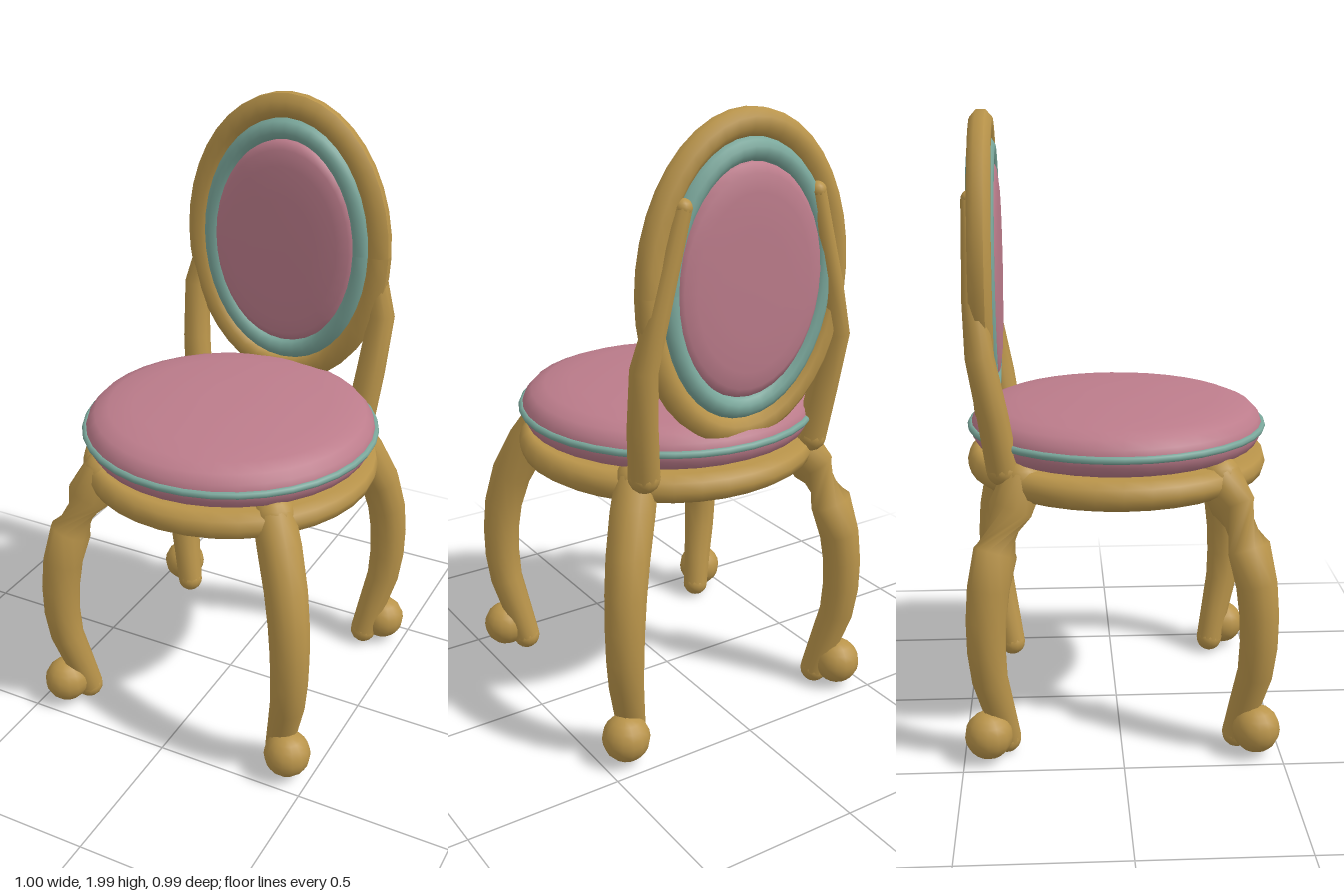
import * as THREE from 'three';

const material = (name, color, side = THREE.FrontSide) => {
  const m = new THREE.MeshStandardMaterial({ color, side });
  m.name = name;
  return m;
};

// Tapered tube through points; rings after twistAt are turned by twist radians.
function taperedTube(points, radii, ref, sides = 12, twistAt = Infinity, twist = 0) {
  const pos = [], index = [];
  points.forEach((p, i) => {
    const t = points[Math.min(i + 1, points.length - 1)].clone()
      .sub(points[Math.max(i - 1, 0)]).normalize();
    const u = ref.clone().addScaledVector(t, -ref.dot(t)).normalize();
    const v = t.clone().cross(u);
    for (let j = 0; j < sides; j++) {
      const a = (j / sides) * Math.PI * 2 + (i >= twistAt ? twist : 0);
      const q = p.clone().addScaledVector(u, Math.cos(a) * radii[i])
        .addScaledVector(v, Math.sin(a) * radii[i]);
      pos.push(q.x, q.y, q.z);
      if (i < points.length - 1) {
        const k = (j + 1) % sides, r = i * sides, n = r + sides;
        index.push(r + j, r + k, n + j, r + k, n + k, n + j);
      }
    }
  });
  const g = new THREE.BufferGeometry();
  g.setAttribute('position', new THREE.Float32BufferAttribute(pos, 3));
  g.setIndex(index);
  g.computeVertexNormals();
  return g;
}

// Elliptical ring in the xy plane with a round section.
function ovalRing(rx, ry, tube, depth, sides) {
  const g = new THREE.TorusGeometry(1, 0.1, sides, 40);
  const p = g.attributes.position;
  const seg = 40;
  for (let i = 0; i < p.count; i++) {
    const a = ((i % (seg + 1)) / seg) * Math.PI * 2;
    const b = (Math.floor(i / (seg + 1)) / sides) * Math.PI * 2 + Math.PI / sides;
    const off = Math.cos(b) * tube;
    p.setXYZ(i, Math.cos(a) * (rx + off), Math.sin(a) * (ry + off), Math.sin(b) * depth);
  }
  g.computeVertexNormals();
  return g;
}

const lathe = (pts, seg = 36) =>
  new THREE.LatheGeometry(pts.map(([x, y]) => new THREE.Vector2(x, y)), seg);

export function createModel() {
  const wood = material('golden wood', 0xb9944a, THREE.DoubleSide);
  const fabric = material('rose fabric', 0xbc7c8b);
  const trim = material('teal trim', 0x7aa79b);
  const model = new THREE.Group();
  const add = (name, geo, mat, x = 0, y = 0, z = 0, parent = model) => {
    const m = new THREE.Mesh(geo, mat);
    m.name = name;
    m.position.set(x, y, z);
    parent.add(m);
    return m;
  };
  const ball = (name, r, p, parent) =>
    add(name, new THREE.SphereGeometry(r, 14, 10), wood, p.x, p.y, p.z, parent);

  // Seat: wooden base, cushion and piping
  add('seatBase', lathe([[0, 0.835], [0.455, 0.835], [0.482, 0.853], [0.49, 0.88],
    [0.482, 0.91], [0.455, 0.93], [0, 0.935]]), wood);
  add('seatCushion', lathe([[0, 0.935], [0.43, 0.935], [0.46, 0.95], [0.474, 0.975],
    [0.478, 1.0], [0.468, 1.03], [0.445, 1.055], [0.4, 1.073], [0.32, 1.085],
    [0.2, 1.095], [0.1, 1.1], [0, 1.1]]), fabric);
  const piping = add('seatPiping', new THREE.TorusGeometry(0.476, 0.012, 8, 36), trim, 0, 1.0, 0);
  piping.rotation.x = Math.PI / 2;

  // Oval backrest
  const back = new THREE.Group();
  back.name = 'backrest';
  back.position.set(0, 1.5, -0.42);
  model.add(back);
  add('backFrame', ovalRing(0.33, 0.46, 0.043, 0.038, 8), wood, 0, 0, 0, back);
  add('backTrim', ovalRing(0.272, 0.385, 0.038, 0.044, 12), trim, 0, 0, 0, back);
  const pad = add('backCushion', lathe([[0, -0.054], [0.12, -0.054], [0.2, -0.051],
    [0.24, -0.044], [0.26, -0.03], [0.265, 0], [0.26, 0.03], [0.24, 0.044],
    [0.2, 0.051], [0.12, 0.054], [0, 0.054]]), fabric, 0, 0, 0, back);
  pad.rotation.x = Math.PI / 2;
  pad.scale.z = 0.355 / 0.265;

  // Bent posts that carry the backrest
  for (const s of [1, -1]) {
    const post = new THREE.Group();
    post.name = s > 0 ? 'leftBackPost' : 'rightBackPost';
    model.add(post);
    const pts = [[0.315, 0.93, -0.365], [0.335, 1.1, -0.39], [0.35, 1.29, -0.425],
      [0.312, 1.45, -0.44], [0.235, 1.745, -0.447]]
      .map(([x, y, z]) => new THREE.Vector3(s * x, y, z));
    const radii = [0.05, 0.048, 0.044, 0.036, 0.028];
    add('postShaft', taperedTube(pts, radii, new THREE.Vector3(0, 0, 1), 10), wood, 0, 0, 0, post);
    ball('postFoot', 0.05, pts[0], post);
    ball('postTip', 0.028, pts[4], post);
  }

  // Curved legs, set diagonally: [outward offset, height, radius]
  const profile = [[0.305, 0.895, 0.068], [0.345, 0.81, 0.071], [0.39, 0.69, 0.069],
    [0.413, 0.58, 0.066], [0.422, 0.48, 0.063], [0.423, 0.38, 0.06],
    [0.415, 0.28, 0.056], [0.39, 0.165, 0.05], [0.368, 0.055, 0.046]];
  for (const sx of [1, -1]) for (const sz of [1, -1]) {
    const leg = new THREE.Group();
    leg.name = (sz > 0 ? 'front' : 'back') + (sx > 0 ? 'Left' : 'Right') + 'Leg';
    model.add(leg);
    const pts = profile.map(([d, y]) => new THREE.Vector3(sx * d, y, sz * d));
    const ref = new THREE.Vector3(sz, 0, -sx).normalize();
    // The right-hand legs have a twisted, pinched knee
    add('legShaft', taperedTube(pts, profile.map((p) => p[2]), ref, 12,
      2, sx < 0 ? 2.2 : 0), wood, 0, 0, 0, leg);
    ball('legTop', 0.068, pts[0], leg);
    ball('legHeel', 0.046, pts[8], leg);
    ball('footBall', 0.076, new THREE.Vector3(sx * 0.422, 0.095, sz * 0.422), leg);
  }
  return model;
}
